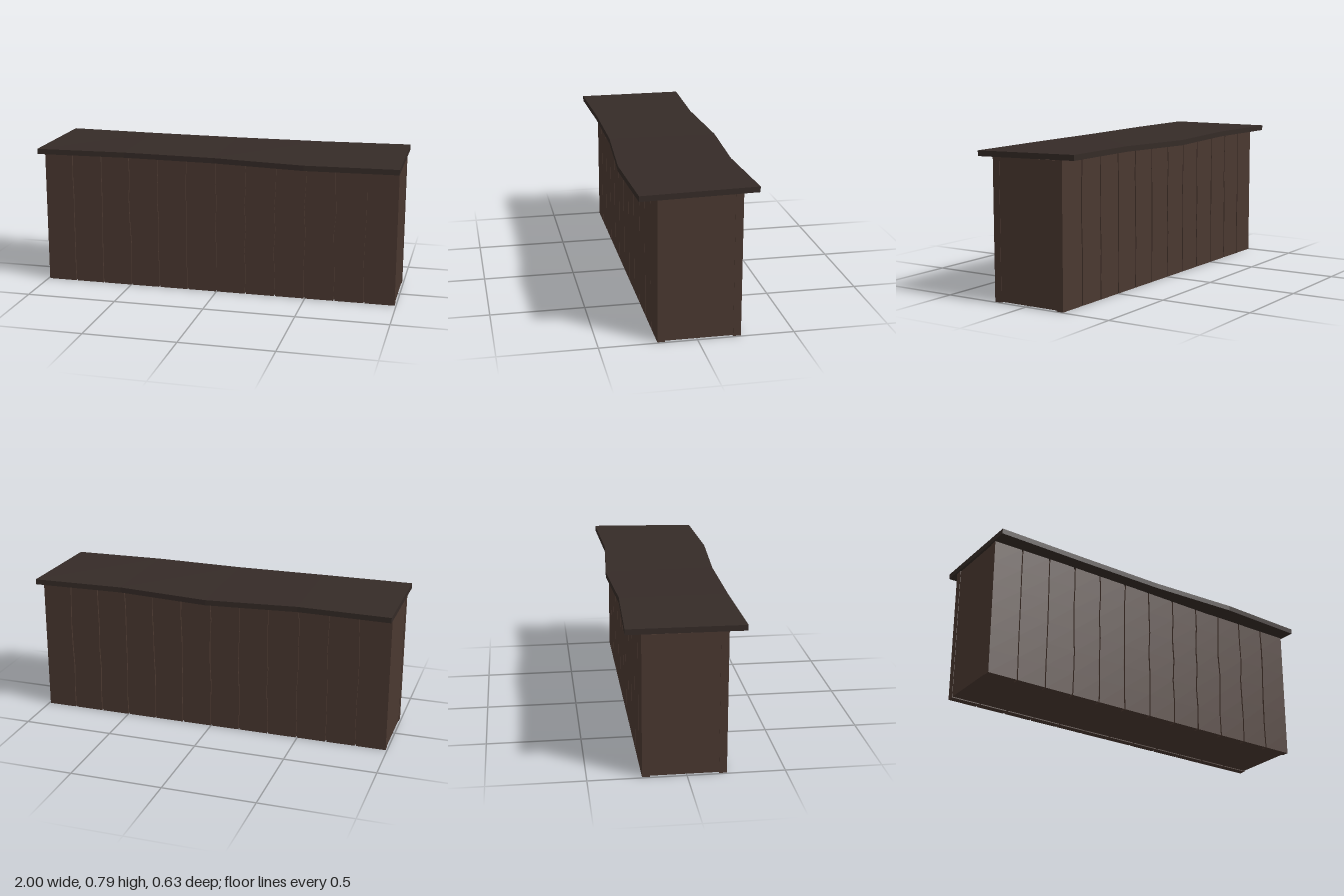
import * as THREE from 'three';

const wood = new THREE.MeshStandardMaterial({ color: 0x4a3830, flatShading: true });
const darkWood = new THREE.MeshStandardMaterial({ color: 0x352b27, flatShading: true });

function addMesh(parent, name, geometry, material) {
  const mesh = new THREE.Mesh(geometry, material);
  mesh.name = name;
  parent.add(mesh);
  return mesh;
}

// Repeatable value in -1..1
function hash(n) {
  const s = Math.sin(n * 127.1 + 11.7) * 43758.5453;
  return (s - Math.floor(s)) * 2 - 1;
}

// Upright board whose inner edges wander a little at each height
function plankGeometry(x0, x1, height, depth, seed, wobbleLeft, wobbleRight) {
  const levels = 6;
  const g = new THREE.BoxGeometry(1, height, depth, 1, levels, 1);
  const p = g.attributes.position;
  for (let i = 0; i < p.count; i++) {
    const right = p.getX(i) > 0;
    const level = Math.round((p.getY(i) / height + 0.5) * levels);
    const edge = seed + (right ? 1 : 0);
    const amount = level === 0 || !(right ? wobbleRight : wobbleLeft) ? 0 : 0.005;
    // Neighbouring boards share most of the drift, so the gap stays narrow
    const drift = amount * (hash(edge * 17 + level) + 0.25 * hash(edge * 31 + level + (right ? 5 : 0)));
    p.setX(i, (right ? x1 : x0) + drift);
    p.setY(i, p.getY(i) + height / 2);
  }
  g.computeVertexNormals();
  return g;
}

function plankWall(name, z, seed) {
  const wall = new THREE.Group();
  wall.name = name;
  const count = 12, half = 0.992, pitch = (2 * half) / count, gap = 0.008;
  for (let i = 0; i < count; i++) {
    const x0 = -half + i * pitch + (i > 0 ? gap / 2 : 0);
    const x1 = -half + (i + 1) * pitch - (i < count - 1 ? gap / 2 : 0);
    const g = plankGeometry(x0, x1, 0.755, 0.04, seed + i, i > 0, i < count - 1);
    addMesh(wall, 'plank', g, wood).position.z = z;
  }
  return wall;
}

// Warped slab lofted through cross-sections: [x, front z, front y, back z, back y]
function counterTopGeometry() {
  const thickness = 0.029;
  const sections = [
    [-1, 0.293, 0.753, -0.305, 0.755],
    [-0.5, 0.28, 0.755, -0.288, 0.754],
    [0, 0.28, 0.751, -0.316, 0.746],
    [0.5, 0.313, 0.744, -0.283, 0.754],
    [1, 0.293, 0.744, -0.304, 0.756],
  ];
  const vertices = [], index = [];
  for (const [x, fz, fy, bz, by] of sections) {
    vertices.push(x, fy, fz, x, fy + thickness, fz, x, by + thickness, bz, x, by, bz);
  }
  for (let s = 0; s < sections.length - 1; s++) {
    for (let k = 0; k < 4; k++) {
      const a = s * 4 + k, b = s * 4 + ((k + 1) % 4);
      index.push(a, a + 4, b + 4, a, b + 4, b);
    }
  }
  const e = (sections.length - 1) * 4;
  index.push(0, 1, 2, 0, 2, 3, e, e + 2, e + 1, e, e + 3, e + 2);
  const g = new THREE.BufferGeometry();
  g.setAttribute('position', new THREE.Float32BufferAttribute(vertices, 3));
  g.setIndex(index);
  const flat = g.toNonIndexed();
  flat.computeVertexNormals();
  return flat;
}

export function createModel() {
  const counter = new THREE.Group();
  counter.name = 'woodenCounter';

  // Solid core behind the boards
  const body = addMesh(counter, 'body', new THREE.BoxGeometry(1.98, 0.745, 0.408), wood);
  body.position.set(0, 0.3775, -0.011);

  // Boards along the front and back
  counter.add(plankWall('frontPlanks', 0.183, 3));
  counter.add(plankWall('backPlanks', -0.205, 40));

  // Uneven overhanging top
  addMesh(counter, 'counterTop', counterTopGeometry(), darkWood);
  return counter;
}
